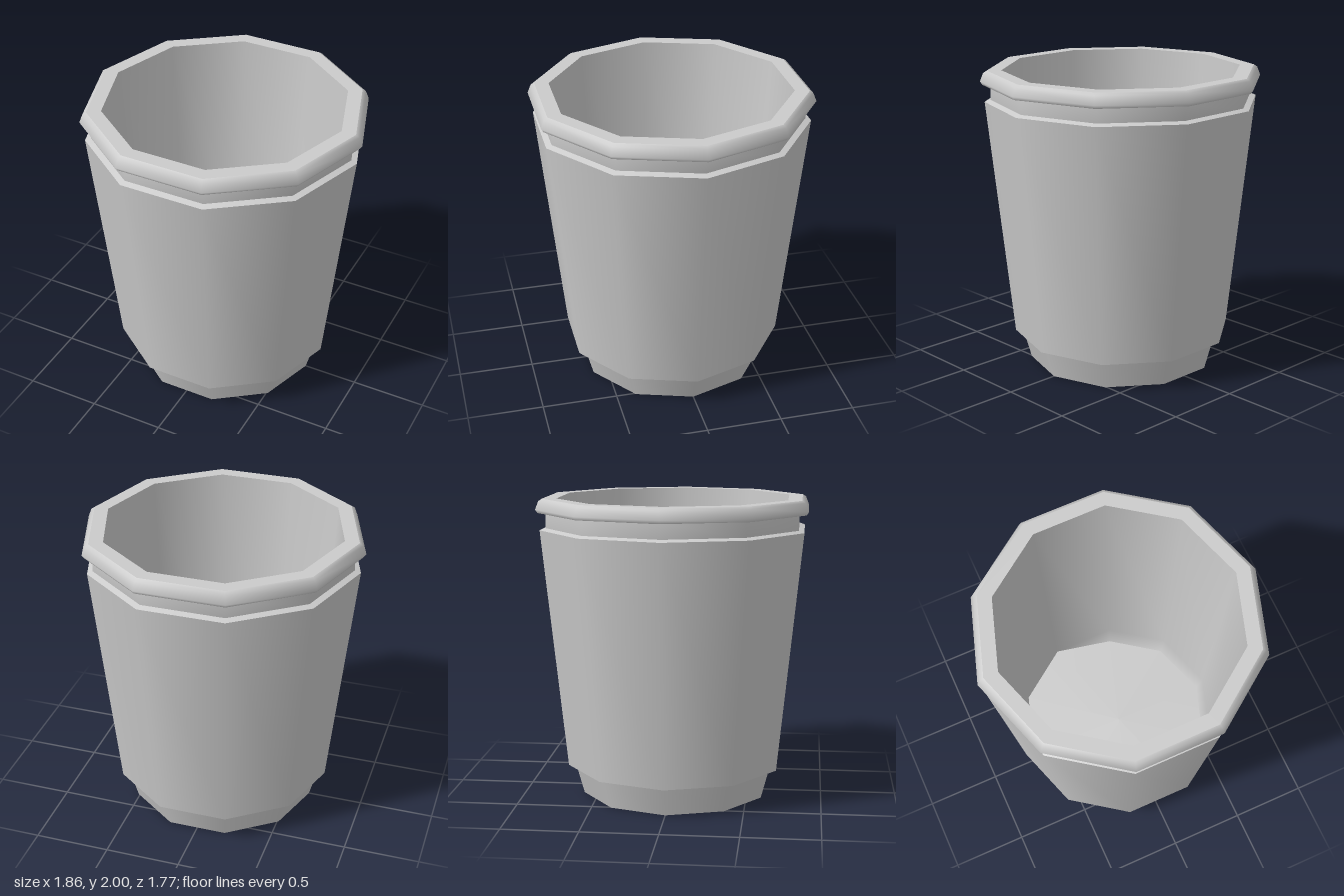
import * as THREE from 'three';
import { mergeGeometries } from 'three/addons/utils/BufferGeometryUtils.js';

const SIDES = 10;
const FLOOR_R = 0.637, FLOOR_Y = 0.08;
const STEP_R = 0.68, STEP_Y = 0.2;

// Ten-sided turned surface with a corner on the x axis
function turn(points) {
  const profile = points.map(([r, y]) => new THREE.Vector2(r, y));
  return new THREE.LatheGeometry(profile, SIDES, Math.PI / 2);
}

// Each run is smooth; runs meet in sharp edges
const turnRuns = (runs) => mergeGeometries(runs.map(turn));

// Lift four corners of the floor (back left) to the step above it
function liftFloorCorners(geometry) {
  const p = geometry.attributes.position;
  for (let i = 0; i < p.count; i++) {
    const x = p.getX(i), z = p.getZ(i);
    if (Math.abs(Math.hypot(x, z) - FLOOR_R) > 0.01) continue;
    const angle = (THREE.MathUtils.radToDeg(Math.atan2(z, x)) + 360) % 360;
    if (angle > 130 && angle < 265) {
      p.setXYZ(i, x * STEP_R / FLOOR_R, STEP_Y, z * STEP_R / FLOOR_R);
    }
  }
  return geometry;
}

export function createModel() {
  const group = new THREE.Group();
  const material = new THREE.MeshStandardMaterial({ color: 0xcccccc });
  const add = (name, geometry) => {
    const mesh = new THREE.Mesh(geometry, material);
    mesh.name = name;
    group.add(mesh);
  };

  // Recessed underside, foot and neck of the cup
  add('cupOuterWall', turnRuns([
    [[0, 0.03], [0.625, 0.03]],
    [[0.625, 0.03], [0.62, 0]],
    [[0.62, 0], [0.63, 0]],
    [[0.63, 0], [0.685, 0.2]],
    [[0.685, 0.2], [0.866, 1.8], [0.86, 1.91]],
  ]));

  // Rolled lip
  add('rim', turnRuns([
    [[0.86, 1.908], [0.915, 1.908]],
    [[0.915, 1.908], [0.93, 1.93], [0.908, 1.985], [0.885, 2]],
    [[0.885, 2], [0.79, 2]],
  ]));

  // Inside of the cup
  add('cupInnerWall', liftFloorCorners(turn([[0.79, 2], [STEP_R, STEP_Y], [FLOOR_R, FLOOR_Y]])));
  add('cupFloor', liftFloorCorners(turn([[FLOOR_R, FLOOR_Y], [0, 0.11]])));

  // Sleeve around the body
  add('sleeve', turnRuns([
    [[0.68, 0.2], [0.735, 0.2]],
    [[0.735, 0.2], [0.903, 1.795]],
    [[0.903, 1.795], [0.862, 1.81]],
  ]));

  return group;
}
